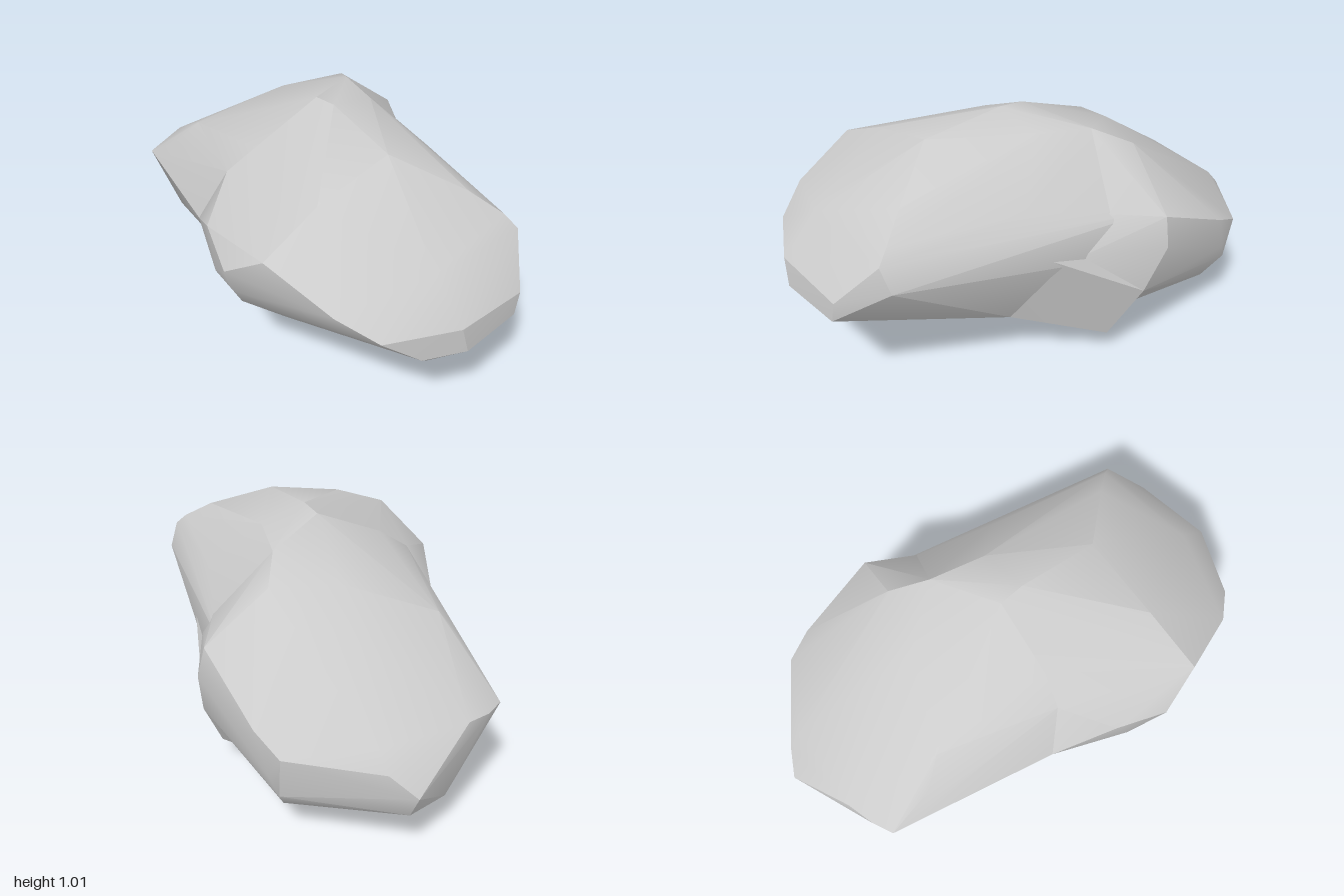
import * as THREE from 'three';
import { ConvexGeometry } from 'three/addons/geometries/ConvexGeometry.js';
import { toCreasedNormals } from 'three/addons/utils/BufferGeometryUtils.js';

// corners shared by both halves of the boulder, around its middle
const waist = [
  [0.03, 1.01, 0.1], [0, 1.0, 0], [0.22, 0.95, -0.2], [0.27, 0.88, -0.36],
  [-0.28, 0.87, 0.06], [-0.4, 0.79, 0.06], [-0.51, 0.56, 0],
  [0.43, 0.71, -0.1], [0.485, 0.55, -0.03], [0.23, 0.04, -0.28],
  [0.03, 0, -0.1], [-0.07, 0.03, -0.12], [-0.37, 0.26, -0.1],
];

const frontCorners = [
  // nose
  [0.12, 0.58, 1], [0.15, 0.47, 1], [-0.02, 0.47, 0.98], [0.02, 0.43, 0.95],
  [-0.17, 0.58, 0.96], [-0.3, 0.66, 0.86], [0.41, 0.46, 0.89], [0.43, 0.55, 0.88],
  [0.08, 0.73, 0.86],
  // brow across the top
  [-0.46, 0.77, 0.62], [-0.22, 0.88, 0.53], [0.1, 0.96, 0.43], [0.35, 0.84, 0.6],
  [0.46, 0.76, 0.68], [0.5, 0.71, 0.72], [0.535, 0.61, 0.69],
  [0.22, 0.965, 0.03], [0.43, 0.76, 0.15],
  // left and right flanks
  [-0.555, 0.65, 0.47], [-0.545, 0.7, 0.25], [-0.545, 0.54, 0.32],
  [-0.52, 0.54, 0.46], [-0.47, 0.42, 0.39], [-0.4, 0.34, 0.16],
  [0.49, 0.63, 0.17], [0.46, 0.68, -0.36], [0.48, 0.5, -0.34], [0.39, 0.27, 0.2],
  // underside
  [-0.3, 0.29, 0.4], [-0.08, 0.2, 0.4], [-0.07, 0.1, 0.1],
];

const backCorners = [
  // top slope
  [-0.37, 0.74, -0.43], [-0.46, 0.62, -0.51], [0, 0.87, -0.37],
  [0, 0.74, -0.56], [-0.36, 0.5, -0.82], [0, 0.5, -0.9],
  // spur on the flank
  [0.52, 0.68, -0.39], [0.55, 0.56, -0.39], [0.53, 0.36, -0.31],
  [0.43, 0.6, -0.58], [0.4, 0.52, -0.72],
  // end facet
  [0.33, 0.46, -0.83], [0.36, 0.35, -0.77], [0.33, 0.28, -0.8],
  [-0.02, 0.43, -0.96], [-0.12, 0.34, -1], [-0.1, 0.25, -0.97],
  // other flank
  [-0.46, 0.48, -0.76], [-0.53, 0.48, -0.7], [-0.51, 0.54, -0.33],
  [-0.48, 0.36, -0.41], [-0.34, 0.23, -0.68], [-0.28, 0.2, -0.84],
  // underside
  [-0.37, 0.23, -0.3], [-0.13, 0.05, -0.25], [0.03, 0.02, -0.28],
  [0, 0.08, -0.5], [0, 0.17, -0.8], [0.3, 0.18, -0.72],
];

// low corner that juts out under the spur
const keelCorners = [
  [0.45, 0.12, -0.2], [0.39, 0.27, 0.2], [0.49, 0.63, 0.17], [0.485, 0.55, -0.03],
  [0.48, 0.5, -0.34], [0.53, 0.36, -0.31], [0.23, 0.04, -0.28], [0.03, 0, -0.1],
];

export function createModel() {
  const boulder = new THREE.Group();
  boulder.name = 'boulder';
  const stone = new THREE.MeshStandardMaterial({ color: 0xcccccc });

  // each lump is faceted, with softened shallow edges
  const addLump = (name, corners) => {
    const points = corners.map((p) => new THREE.Vector3(...p));
    const mesh = new THREE.Mesh(toCreasedNormals(new ConvexGeometry(points), 0.5), stone);
    mesh.name = name;
    boulder.add(mesh);
  };
  addLump('frontLump', [...frontCorners, ...waist]);
  addLump('backLump', [...backCorners, ...waist]);
  addLump('keelCorner', keelCorners);
  return boulder;
}
